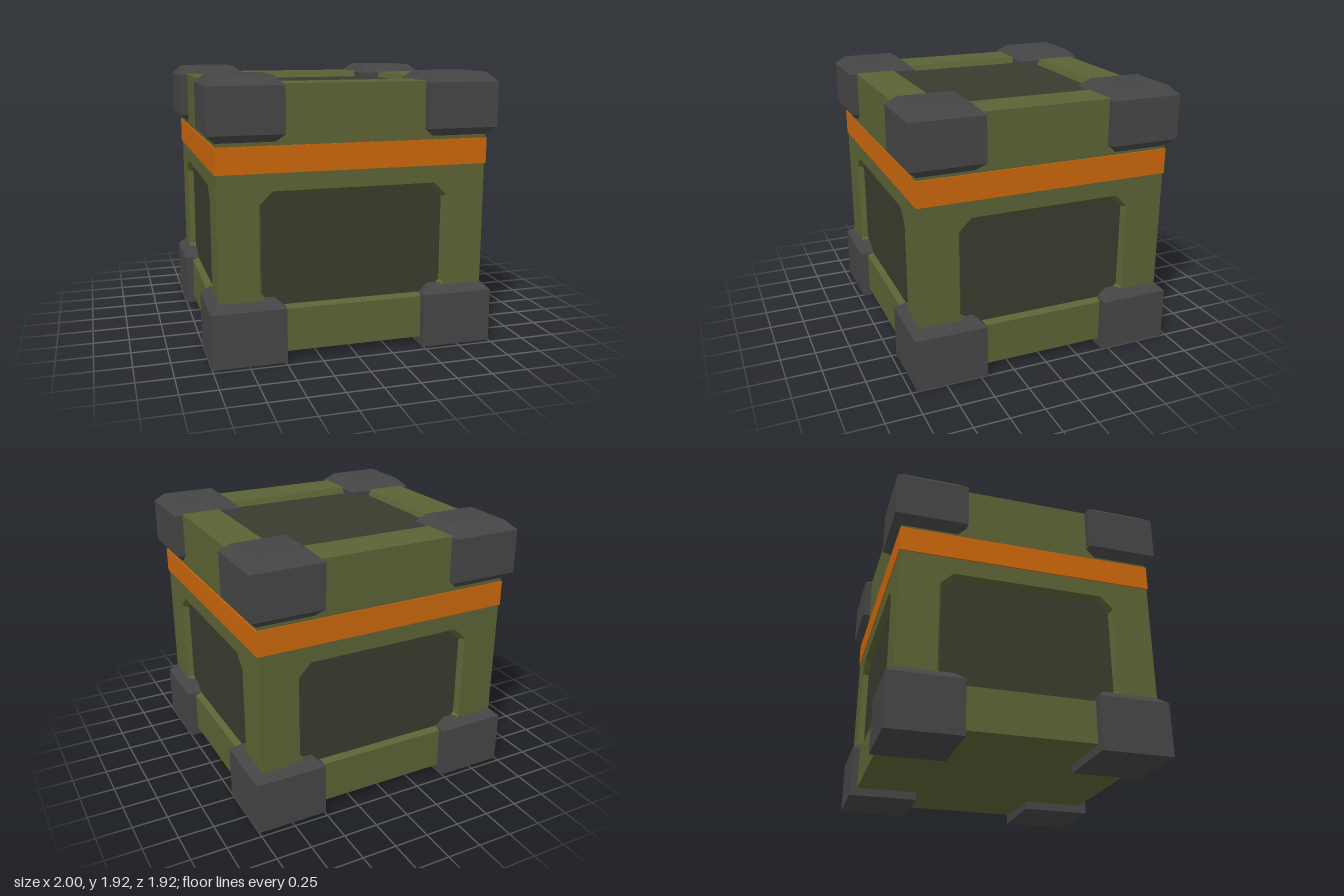
import * as THREE from 'three';

const material = (name, color) => Object.assign(new THREE.MeshStandardMaterial({ color }), { name });

// Octagon (or rectangle when cut is 0) as a counter-clockwise list of points
function cutRect(hw, y0, y1, cut) {
  if (!cut) return [[-hw, y0], [hw, y0], [hw, y1], [-hw, y1]].map((p) => new THREE.Vector2(...p));
  return [
    [-hw + cut, y0], [hw - cut, y0], [hw, y0 + cut], [hw, y1 - cut],
    [hw - cut, y1], [-hw + cut, y1], [-hw, y1 - cut], [-hw, y0 + cut],
  ].map((p) => new THREE.Vector2(...p));
}

// Sloping wall that joins the opening to the sunken panel
function wallGeometry(outer, inner, depth) {
  const pos = [];
  outer.forEach((a, i) => {
    const j = (i + 1) % outer.length;
    const b = outer[j], c = inner[j], d = inner[i];
    pos.push(a.x, a.y, 0, b.x, b.y, 0, c.x, c.y, -depth);
    pos.push(a.x, a.y, 0, c.x, c.y, -depth, d.x, d.y, -depth);
  });
  const geo = new THREE.BufferGeometry();
  geo.setAttribute('position', new THREE.Float32BufferAttribute(pos, 3));
  geo.computeVertexNormals();
  return geo;
}

// Block with its top ring (and optionally its bottom ring) pulled in
function blockGeometry(w, h, d, bevel, inset, bothEnds) {
  const rings = bothEnds ? 3 : 2;
  const geo = new THREE.BoxGeometry(w, h, d, 1, rings, 1).toNonIndexed();
  const p = geo.attributes.position;
  for (let i = 0; i < p.count; i++) {
    const ring = Math.round((p.getY(i) / h + 0.5) * rings);
    const end = ring === rings || (bothEnds && ring === 0);
    if (end) {
      p.setX(i, p.getX(i) - Math.sign(p.getX(i)) * inset);
      p.setZ(i, p.getZ(i) - Math.sign(p.getZ(i)) * inset);
    } else if (ring > 0) {
      p.setY(i, ring === rings - 1 ? h / 2 - bevel : -h / 2 + bevel);
    }
  }
  geo.computeVertexNormals();
  return geo;
}

export function createModel() {
  const olive = material('olive shell', 0x5c6235);
  const dark = material('dark panel', 0x3b3a2d);
  const orange = material('orange band', 0xca660c);
  const grey = material('grey guard', 0x454545);

  const model = new THREE.Group();
  model.name = 'crate';
  const add = (parent, name, geo, mat) => {
    const mesh = new THREE.Mesh(geo, mat);
    mesh.name = name;
    parent.add(mesh);
    return mesh;
  };

  const HX = 0.94, HZ = 0.905, Y0 = 0.06, Y1 = 1.865, DEPTH = 0.045;

  // One face of the crate with a recessed panel
  function recessedFace(name, hw, y0, y1, outer, inner) {
    const group = new THREE.Group();
    group.name = name;
    const frame = new THREE.Shape(cutRect(hw, y0, y1, 0));
    frame.holes.push(new THREE.Path(outer));
    add(group, name + 'Frame', new THREE.ShapeGeometry(frame), olive);
    add(group, name + 'RecessWall', wallGeometry(outer, inner, DEPTH), olive);
    add(group, name + 'Panel', new THREE.ShapeGeometry(new THREE.Shape(inner)), dark).position.z = -DEPTH;
    model.add(group);
    return group;
  }

  // Four sides
  ['front', 'left', 'back', 'right'].forEach((name, i) => {
    const [hw, out, hole] = i % 2 ? [HZ, HX, 0.625] : [HX, HZ, 0.66];
    const side = recessedFace(name + 'Side', hw, Y0, Y1,
      cutRect(hole, 0.36, 1.17, 0.09), cutRect(hole - 0.02, 0.38, 1.147, 0.082));
    side.rotation.y = i * Math.PI / 2;
    side.position.set([0, out, 0, -out][i], 0, [out, 0, -out, 0][i]);
  });

  // Lid and floor
  const lid = recessedFace('lid', HX, -HZ, HZ,
    cutRect(0.655, -0.62, 0.62, 0), cutRect(0.638, -0.602, 0.602, 0));
  lid.rotation.x = -Math.PI / 2;
  lid.position.y = Y1;
  const floor = add(model, 'floor', new THREE.PlaneGeometry(HX * 2, HZ * 2), olive);
  floor.rotation.x = Math.PI / 2;
  floor.position.y = Y0;

  // Band around the body
  add(model, 'band', new THREE.BoxGeometry(1.9, 0.18, 1.822), orange).position.y = 1.38;

  // Corner guards
  const foot = blockGeometry(0.51, 0.44, 0.51, 0.06, 0.065, false);
  const cap = blockGeometry(0.51, 0.435, 0.51, 0.062, 0.065, true);
  for (const sx of [1, -1]) {
    for (const sz of [1, -1]) {
      const where = (sz > 0 ? 'front' : 'back') + (sx > 0 ? 'Left' : 'Right');
      add(model, where + 'Foot', foot, grey).position.set(sx * 0.745, 0.22, sz * 0.705);
      add(model, where + 'Cap', cap, grey).position.set(sx * 0.745, 1.7025, sz * 0.705);
    }
  }
  return model;
}
